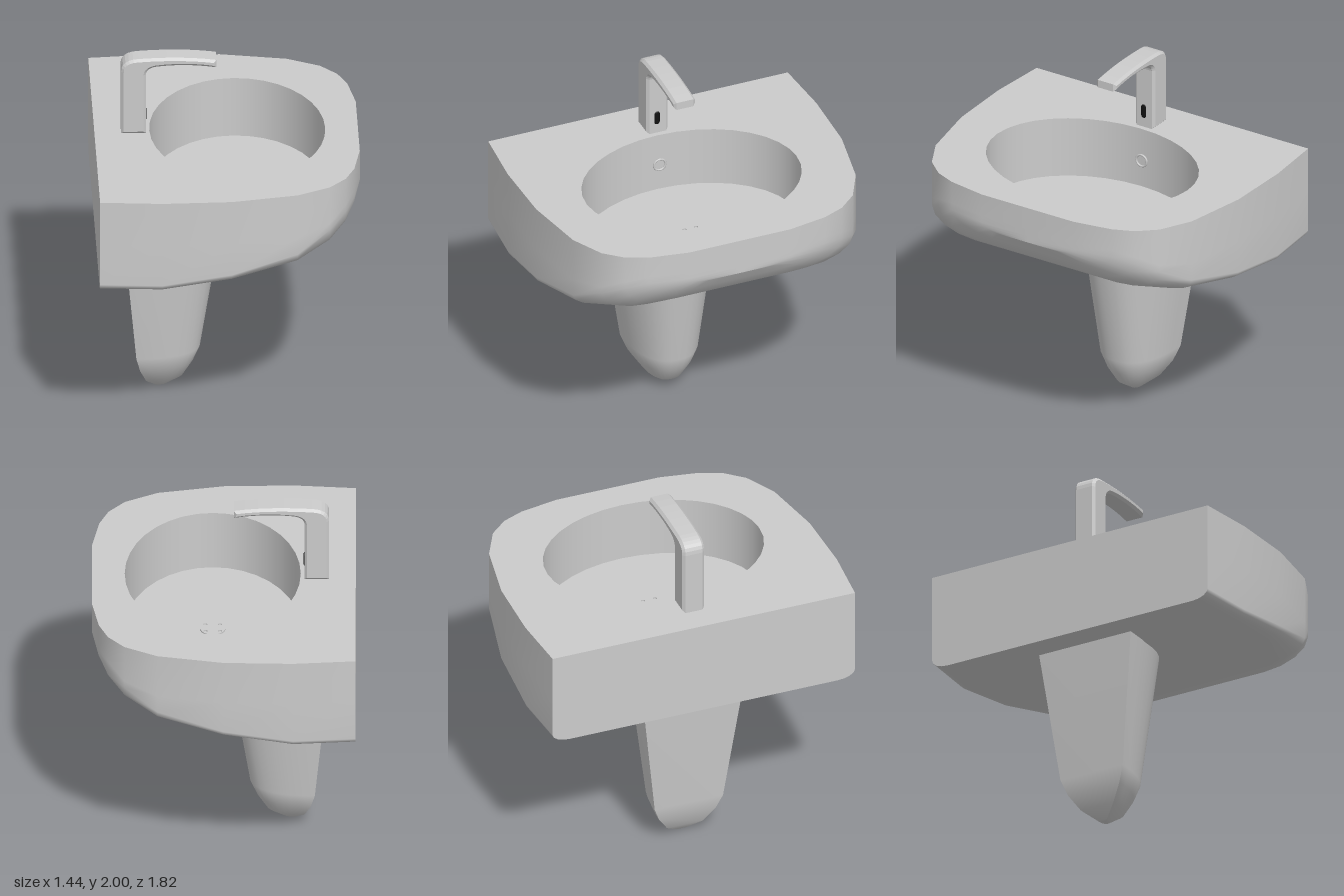
import * as THREE from 'three';

const grey = new THREE.MeshStandardMaterial({ color: 0xcccccc, side: THREE.DoubleSide });
const black = new THREE.MeshStandardMaterial({ color: 0x111111 });
const TOP = 1.54;

// Skin joining a list of cross-sections, each a list of [x, y, z]
function loft(rings) {
  const n = rings[0].length, index = [];
  for (let i = 0; i < rings.length - 1; i++) {
    for (let j = 0; j < n - 1; j++) {
      const a = i * n + j, b = a + n;
      index.push(a, a + 1, b, b, a + 1, b + 1);
    }
  }
  const g = new THREE.BufferGeometry();
  g.setAttribute('position', new THREE.Float32BufferAttribute(rings.flat(2), 3));
  g.setIndex(index);
  g.computeVertexNormals();
  return g;
}

// Flat fan over a convex outline
function fan(points) {
  const g = new THREE.BufferGeometry(), index = [];
  for (let i = 1; i < points.length - 1; i++) index.push(0, i, i + 1);
  g.setAttribute('position', new THREE.Float32BufferAttribute(points.flat(), 3));
  g.setIndex(index);
  g.computeVertexNormals();
  return g;
}

function add(parent, name, geometry, material = grey) {
  const mesh = new THREE.Mesh(geometry, material);
  mesh.name = name;
  parent.add(mesh);
  return mesh;
}

// Washbasin stations along x: [x, half width, underside y, corner height, corner width]
const stations = [
  [-0.72, 0.885, 0.99, 0.05, 0.1], [-0.38, 0.912, 0.99, 0.05, 0.1],
  [0, 0.903, 1.035, 0.06, 0.14], [0.36, 0.835, 1.09, 0.09, 0.2],
  [0.54, 0.742, 1.14, 0.14, 0.28], [0.63, 0.64, 1.2, 0.14, 0.3],
  [0.68, 0.52, 1.27, 0.1, 0.26], [0.718, 0.3, 1.33, 0.04, 0.12],
];

function basinSection([x, w, b, ry, rz]) {
  const half = [[w, TOP], [w, Math.max(1.28, b + ry + 0.04)]];
  for (let k = 0; k <= 4; k++) {
    const a = (k / 4) * Math.PI / 2;
    half.push([w - rz + rz * Math.cos(a), b + ry - ry * Math.sin(a)]);
  }
  half.push([(w - rz) / 2, b]);
  const mirrored = half.map(([z, y]) => [-z, y]).reverse();
  return [...half, [0, b], ...mirrored].map(([z, y]) => [x, y, z]);
}

function makeBasin() {
  const basin = new THREE.Group();
  basin.name = 'basin';
  const rings = stations.map(basinSection);
  const nose = rings[rings.length - 1].map(([x, y]) => [x, y, 0]);
  add(basin, 'basinShell', loft([...rings, nose]));
  add(basin, 'basinBack', fan([...rings[0]].reverse()));

  // Rim plate with the oval opening
  const outline = [
    ...stations.map(([x, w]) => new THREE.Vector2(x, w)),
    ...[...stations].reverse().map(([x, w]) => new THREE.Vector2(x, -w)),
  ];
  const rim = new THREE.Shape(outline), N = 36;
  const oval = [];
  for (let i = 0; i < N; i++) {
    const a = (i / N) * Math.PI * 2;
    oval.push(new THREE.Vector2(0.06 + 0.48 * Math.sin(a), -0.01 + 0.62 * Math.cos(a)));
  }
  rim.holes.push(new THREE.Path(oval));
  add(basin, 'rim', new THREE.ShapeGeometry(rim).rotateX(-Math.PI / 2).translate(0, TOP, 0));

  // Straight bowl wall and flat floor
  const floorY = 1.19, depth = TOP - floorY;
  const wall = new THREE.CylinderGeometry(1, 1, depth, N, 1, true);
  add(basin, 'bowlWall', wall.scale(0.48, 1, 0.62).translate(0.06, floorY + depth / 2, 0.01));
  const floor = new THREE.CircleGeometry(1, N).rotateX(-Math.PI / 2);
  add(basin, 'bowlFloor', floor.scale(0.48, 1, 0.62).translate(0.06, floorY, 0.01));

  // Drain plate with four holes
  const plate = new THREE.Shape().absarc(0, 0, 0.07, 0, Math.PI * 2);
  for (const sx of [-1, 1]) for (const sy of [-1, 1]) {
    plate.holes.push(new THREE.Path().absarc(sx * 0.04, sy * 0.034, 0.011, 0, Math.PI * 2, true));
  }
  const drain = new THREE.ExtrudeGeometry(plate, { depth: 0.008, bevelEnabled: false, curveSegments: 12 });
  add(basin, 'drain', drain.rotateX(-Math.PI / 2).translate(0.06, floorY, 0));

  // Overflow ring on the rear bowl wall
  const ring = new THREE.TorusGeometry(0.034, 0.006, 8, 20).rotateY(Math.PI / 2);
  add(basin, 'overflowRing', ring.translate(-0.413, 1.35, 0));
  return basin;
}

function makePedestal() {
  const pedestal = new THREE.Group();
  pedestal.name = 'pedestal';
  // [y, back x, front x, half width]
  const levels = [
    [0, -0.355, -0.355, 0], [0, -0.385, -0.325, 0.03], [0.06, -0.44, -0.235, 0.105],
    [0.15, -0.475, -0.18, 0.165], [0.24, -0.497, -0.142, 0.2], [1.06, -0.572, -0.01, 0.303],
  ];
  const rounded = levels.map(([y, back, front, w]) => {
    const ring = [];
    for (let k = 0; k <= 20; k++) {
      const a = (k / 20) * Math.PI, c = Math.cos(a);
      const s = Math.max(0, Math.sin(a));
      ring.push([back + (front - back) * s ** 0.85, y, w * Math.sign(c) * Math.abs(c) ** 0.85]);
    }
    return ring;
  });
  add(pedestal, 'pedestalFront', loft(rounded));
  add(pedestal, 'pedestalBack', loft(levels.map(([y, back, , w]) => [[back, y, -w], [back, y, w]])));
  return pedestal;
}

function makeTap() {
  const tap = new THREE.Group();
  tap.name = 'tap';
  // Side profile of column and spout, swept across with chamfered edges
  const bevel = 0.014;
  const profile = new THREE.Shape();
  profile.moveTo(-0.575, 1.545);
  profile.lineTo(-0.44, 1.545);
  profile.lineTo(-0.44, 1.9);
  profile.quadraticCurveTo(-0.435, 1.94, -0.38, 1.947);
  profile.quadraticCurveTo(-0.22, 1.965, -0.055, 1.937);
  profile.lineTo(-0.055, 1.982);
  profile.quadraticCurveTo(-0.24, 2.01, -0.48, 1.995);
  profile.quadraticCurveTo(-0.575, 1.99, -0.575, 1.92);
  const body = new THREE.ExtrudeGeometry(profile, {
    depth: 0.128 - 2 * bevel, bevelThickness: bevel, bevelSize: bevel,
    bevelOffset: -bevel, bevelSegments: 1, curveSegments: 6,
  });
  add(tap, 'tapBody', body.translate(0, 0, -0.064 + bevel));

  // Sensor window on the column
  const slot = new THREE.CapsuleGeometry(0.016, 0.05, 4, 12).scale(0.3, 1, 1);
  add(tap, 'sensorWindow', slot.translate(-0.44, 1.64, 0.004), black);
  return tap;
}

export function createModel() {
  const model = new THREE.Group();
  model.name = 'washbasin';
  model.add(makeBasin(), makePedestal(), makeTap());
  return model;
}
